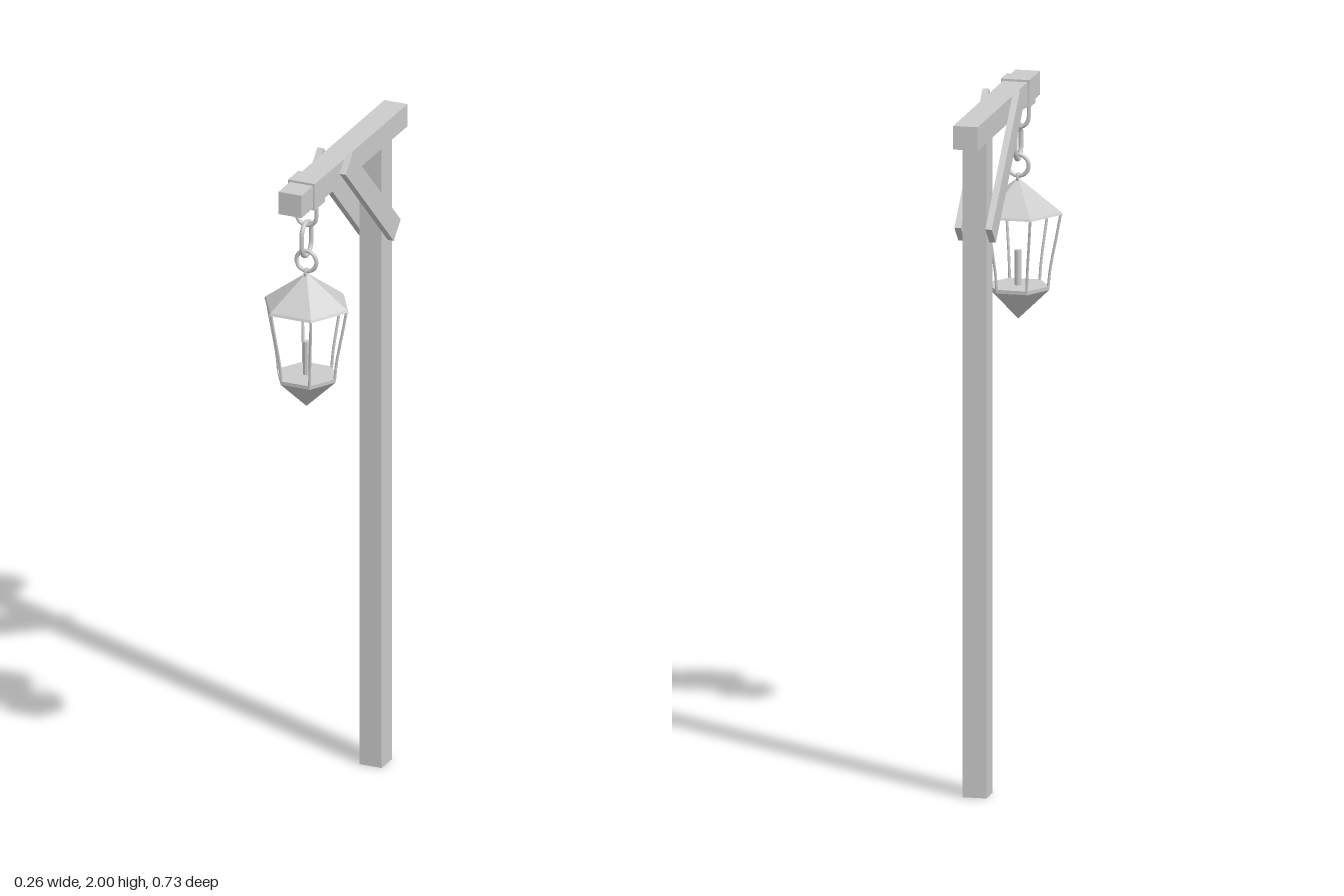
import * as THREE from 'three';

const LAMP_Z = 0.253;

export function createModel() {
  const root = new THREE.Group();
  const flat = new THREE.MeshStandardMaterial({ color: 0xcccccc, flatShading: true });
  const smooth = new THREE.MeshStandardMaterial({ color: 0xcccccc });

  const add = (name, geometry, material, x, y, z, parent = root) => {
    const mesh = new THREE.Mesh(geometry, material);
    mesh.name = name;
    mesh.position.set(x, y, z);
    parent.add(mesh);
    return mesh;
  };

  // Timber frame
  add('post', new THREE.BoxGeometry(0.07, 1.917, 0.07), flat, 0, 0.9585, -0.226);
  add('beam', new THREE.BoxGeometry(0.072, 0.069, 0.734), flat, 0, 1.952, 0);
  for (const side of [1, -1]) {
    const brace = add(side > 0 ? 'leftBrace' : 'rightBrace',
      new THREE.BoxGeometry(0.019, 0.068, 0.471), flat, side * 0.0455, 1.81, -0.0875);
    brace.rotation.x = -Math.PI / 4;
  }

  // Metal band wrapped around the beam
  add('band', new THREE.BoxGeometry(0.083, 0.082, 0.07), flat, 0, 1.952, LAMP_Z);

  // Chain: stadium-shaped links, alternating by a quarter turn
  const linkGeometry = (radius, straight, tube) => {
    const points = [];
    for (let i = 0; i < 24; i++) {
      const a = ((i + 0.5) / 24) * Math.PI * 2;
      const shift = Math.sign(Math.sin(a)) * straight;
      points.push(new THREE.Vector3(Math.cos(a) * radius, Math.sin(a) * radius + shift, 0));
    }
    return new THREE.TubeGeometry(new THREE.CatmullRomCurve3(points, true), 48, tube, 8, true);
  };
  const chain = new THREE.Group();
  chain.name = 'chain';
  root.add(chain);
  add('topLink', linkGeometry(0.031, 0.02, 0.006), smooth, 0, 1.897, LAMP_Z, chain);
  add('middleLink', linkGeometry(0.033, 0.018, 0.007), smooth, 0, 1.804, LAMP_Z, chain).rotation.y = Math.PI / 2;
  add('bottomRing', linkGeometry(0.031, 0, 0.006), smooth, 0, 1.735, LAMP_Z, chain);

  // Lantern, hexagonal with corners on the x axis
  const lantern = new THREE.Group();
  lantern.name = 'lantern';
  lantern.position.z = LAMP_Z;
  root.add(lantern);
  const hexLathe = (profile) => new THREE.LatheGeometry(
    profile.map(([r, y]) => new THREE.Vector2(r, y)), 6, Math.PI / 6);

  add('roofLoop', new THREE.TorusGeometry(0.01, 0.004, 6, 16), smooth, 0, 1.7, 0, lantern).rotation.y = Math.PI / 2;
  add('roof', hexLathe([[0, 1.597], [0.131, 1.597], [0.127, 1.604], [0.006, 1.694], [0, 1.694]]),
    flat, 0, 0, 0, lantern);
  add('base', hexLathe([[0, 1.286], [0.091, 1.374], [0.092, 1.385], [0, 1.385]]),
    flat, 0, 0, 0, lantern);

  // Six bowed corner bars
  const barCurve = new THREE.CatmullRomCurve3([
    [0.125, 1.6], [0.114, 1.54], [0.101, 1.475], [0.093, 1.43], [0.088, 1.38],
  ].map(([r, y]) => new THREE.Vector3(r, y, 0)));
  const barGeometry = new THREE.TubeGeometry(barCurve, 10, 0.004, 6);
  for (let i = 0; i < 6; i++) {
    add('cornerBar', barGeometry, smooth, 0, 0, 0, lantern).rotation.y = (i * Math.PI) / 3;
  }

  // Candle
  add('candle', new THREE.CylinderGeometry(0.01, 0.01, 0.104, 10), flat, 0, 1.435, 0, lantern);

  return root;
}
